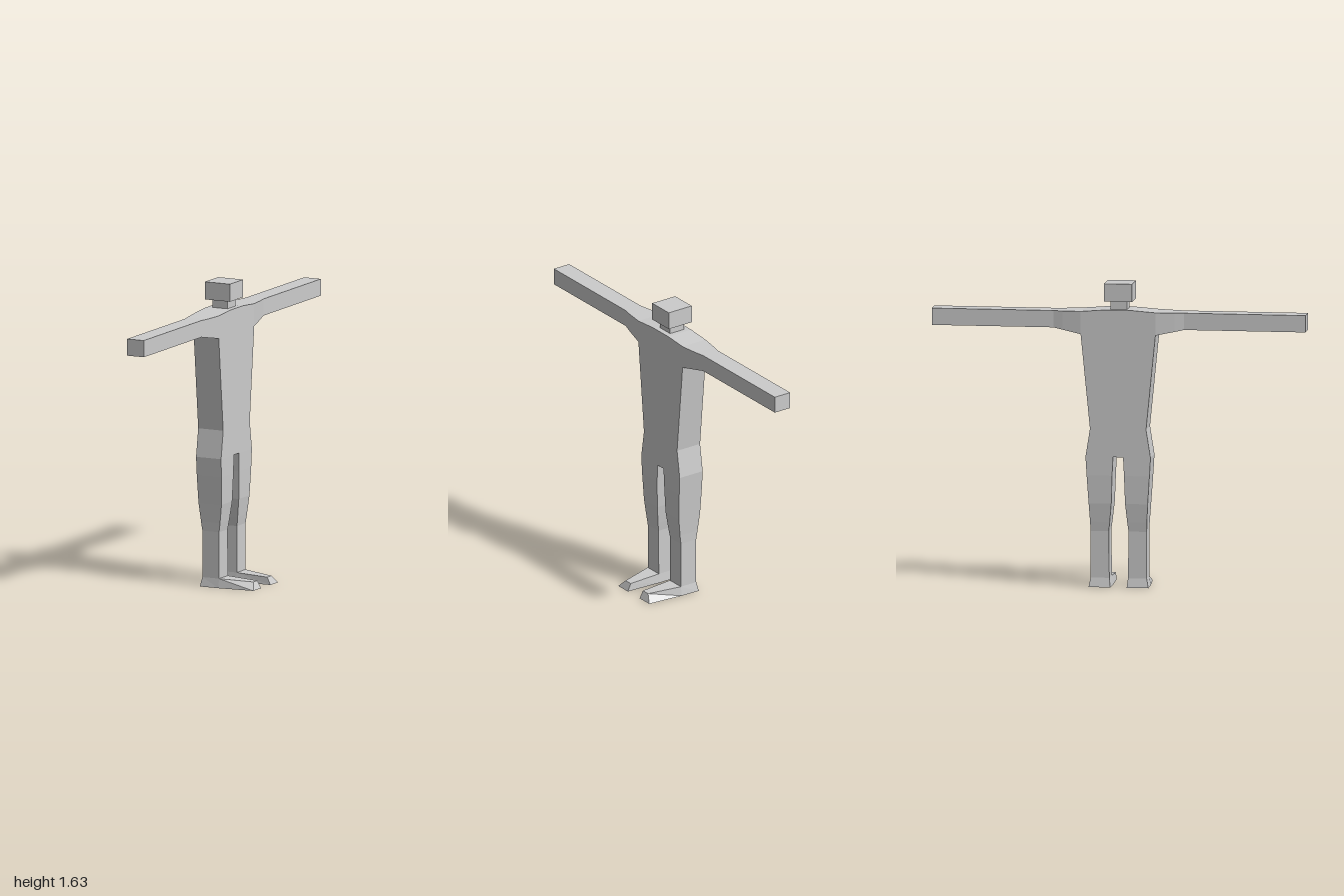
import * as THREE from 'three';

const grey = new THREE.MeshStandardMaterial({ color: 0xcccccc, flatShading: true });
grey.name = 'plain grey';

// Skins a row of four-cornered rings; corners run counter-clockwise about the direction of travel.
function loft(name, rings) {
  const pos = [];
  const quad = (a, b, c, d) => pos.push(...a, ...b, ...c, ...a, ...c, ...d);
  for (let k = 0; k < rings.length - 1; k++) {
    for (let i = 0; i < 4; i++) {
      const j = (i + 1) % 4;
      quad(rings[k][i], rings[k][j], rings[k + 1][j], rings[k + 1][i]);
    }
  }
  quad(...[...rings[0]].reverse());
  quad(...rings[rings.length - 1]);
  const geometry = new THREE.BufferGeometry();
  geometry.setAttribute('position', new THREE.Float32BufferAttribute(pos, 3));
  geometry.computeVertexNormals();
  const mesh = new THREE.Mesh(geometry, grey);
  mesh.name = name;
  return mesh;
}

const MID = -0.09; // depth centre of the body in x

// Horizontal ring (listed top to bottom): height, half depth, z range
const level = ([y, h, z0, z1]) =>
  [[MID - h, y, z0], [MID + h, y, z0], [MID + h, y, z1], [MID - h, y, z1]];

// Upright ring across an arm (listed by rising z): z, half depth, y range
const upright = ([z, h, y0, y1]) =>
  [[MID - h, y0, z], [MID + h, y0, z], [MID + h, y1, z], [MID - h, y1, z]];

const mirrorRing = (ring) => ring.map(([x, y, z]) => [x, y, -z]).reverse();

function box(name, w, h, d, y) {
  const mesh = new THREE.Mesh(new THREE.BoxGeometry(w, h, d), grey);
  mesh.name = name;
  mesh.position.set(MID, y, 0);
  return mesh;
}

export function createModel() {
  const model = new THREE.Group();
  model.name = 'figure';

  // Head and neck
  model.add(box('head', 0.15, 0.095, 0.15, 1.58));
  model.add(box('neck', 0.09, 0.06, 0.09, 1.51));

  // Torso
  model.add(loft('torso', [
    [1.355, 0.075, -0.2, 0.2],
    [0.85, 0.075, -0.15, 0.15],
    [0.7, 0.075, -0.174, 0.174],
  ].map(level)));

  // Shoulders and outstretched arms in one span
  const half = [
    [0.07, 0.075, 1.355, 1.487],
    [0.2, 0.075, 1.355, 1.477],
    [0.3, 0.06, 1.375, 1.475],
    [0.35, 0.05, 1.385, 1.475],
    [1, 0.05, 1.385, 1.475],
  ];
  const other = [...half].reverse().map(([z, ...rest]) => [-z, ...rest]);
  model.add(loft('shouldersAndArms', [...other, ...half].map(upright)));

  // Legs and feet
  const legRings = [
    [0.7, 0.075, 0.027, 0.174],
    [0.6, 0.074, 0.032, 0.168],
    [0.45, 0.069, 0.037, 0.158],
    [0.35, 0.057, 0.047, 0.152],
    [0.3, 0.05, 0.053, 0.15],
    [0.05, 0.05, 0.05, 0.15],
  ].map(level);
  const footRings = [
    [[-0.15, 0, 0.044], [-0.14, 0.05, 0.05], [-0.14, 0.05, 0.15], [-0.15, 0, 0.16]],
    [[-0.04, 0, 0.044], [-0.04, 0.05, 0.05], [-0.04, 0.05, 0.15], [-0.04, 0, 0.158]],
    [[0.16, 0, 0.053], [0.14, 0.04, 0.055], [0.14, 0.04, 0.102], [0.16, 0, 0.14]],
  ];
  model.add(loft('rightLeg', legRings), loft('rightFoot', footRings));
  model.add(loft('leftLeg', legRings.map(mirrorRing)), loft('leftFoot', footRings.map(mirrorRing)));

  return model;
}
